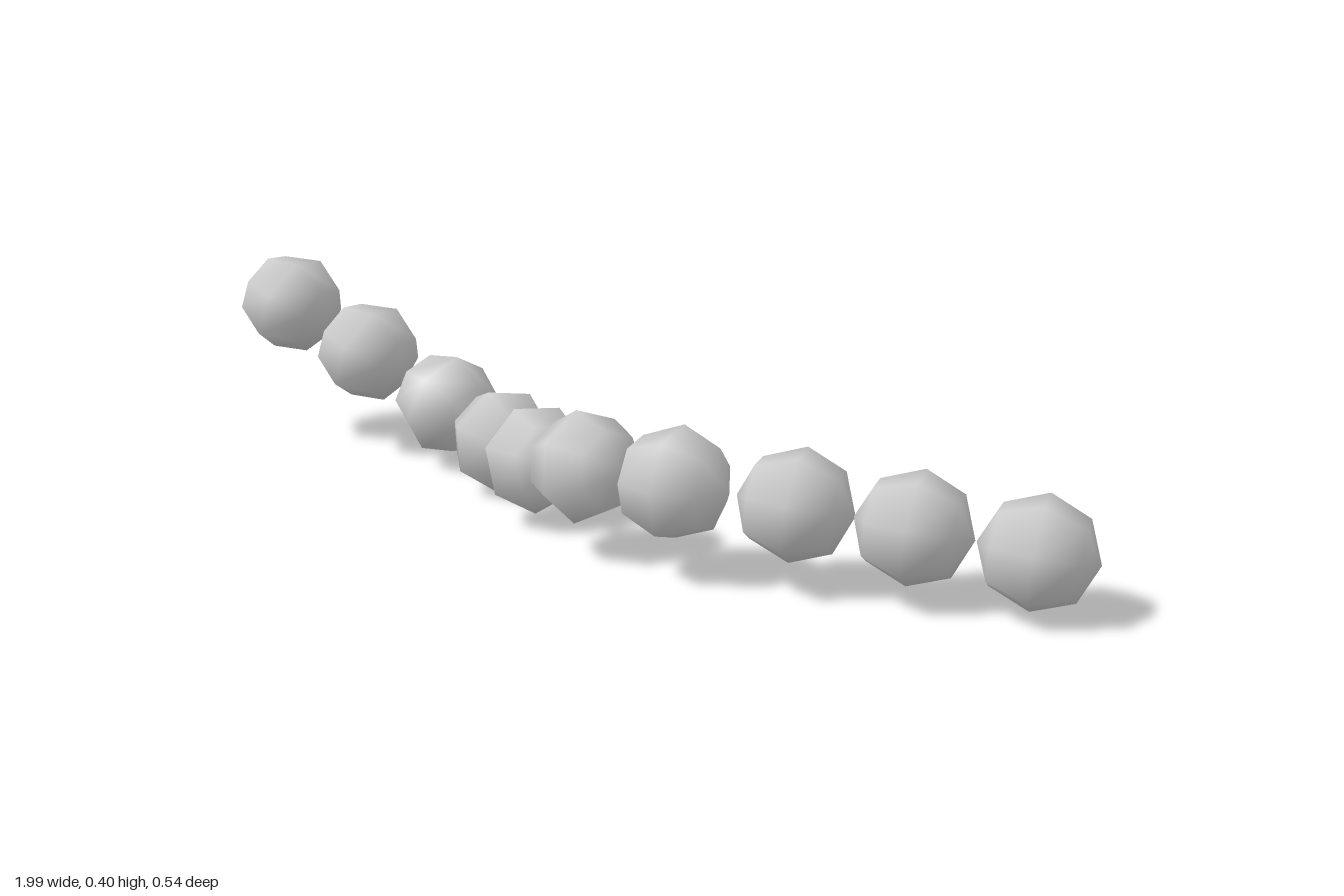
import * as THREE from 'three';

// Bead centres along the strand: x, y, z, roll about the strand
const BEADS = [
  [-0.89, 0.313, 0.078, -0.28],
  [-0.70, 0.228, 0.022, -0.28],
  [-0.50, 0.143, -0.025, 0],
  [-0.29, 0.114, 0.008, 0],
  [-0.095, 0.136, 0.095, 0],
  [0.11, 0.18, 0.16, 0],
  [0.315, 0.187, 0.135, 0],
  [0.51, 0.166, 0.025, 0],
  [0.70, 0.145, -0.073, 0],
  [0.895, 0.123, -0.173, 0],
];
const RADIUS = 0.109;

export function createModel() {
  const strand = new THREE.Group();
  strand.name = 'beadStrand';

  const material = new THREE.MeshStandardMaterial({ color: 0xcccccc });
  // Coarse, smooth-shaded bead with its poles on the local y axis
  const geometry = new THREE.SphereGeometry(RADIUS, 7, 4);
  const centres = BEADS.map(([x, y, z]) => new THREE.Vector3(x, y, z));
  const up = new THREE.Vector3(0, 1, 0);

  centres.forEach((centre, i) => {
    // Poles follow the direction of the strand through the neighbouring beads
    const before = centres[Math.max(i - 1, 0)];
    const after = centres[Math.min(i + 1, centres.length - 1)];
    const direction = after.clone().sub(before).normalize();

    const bead = new THREE.Mesh(geometry, material);
    bead.name = `bead${i + 1}`;
    bead.position.copy(centre);
    bead.quaternion.setFromUnitVectors(up, direction);
    bead.rotateY(BEADS[i][3]);
    strand.add(bead);
  });

  return strand;
}
